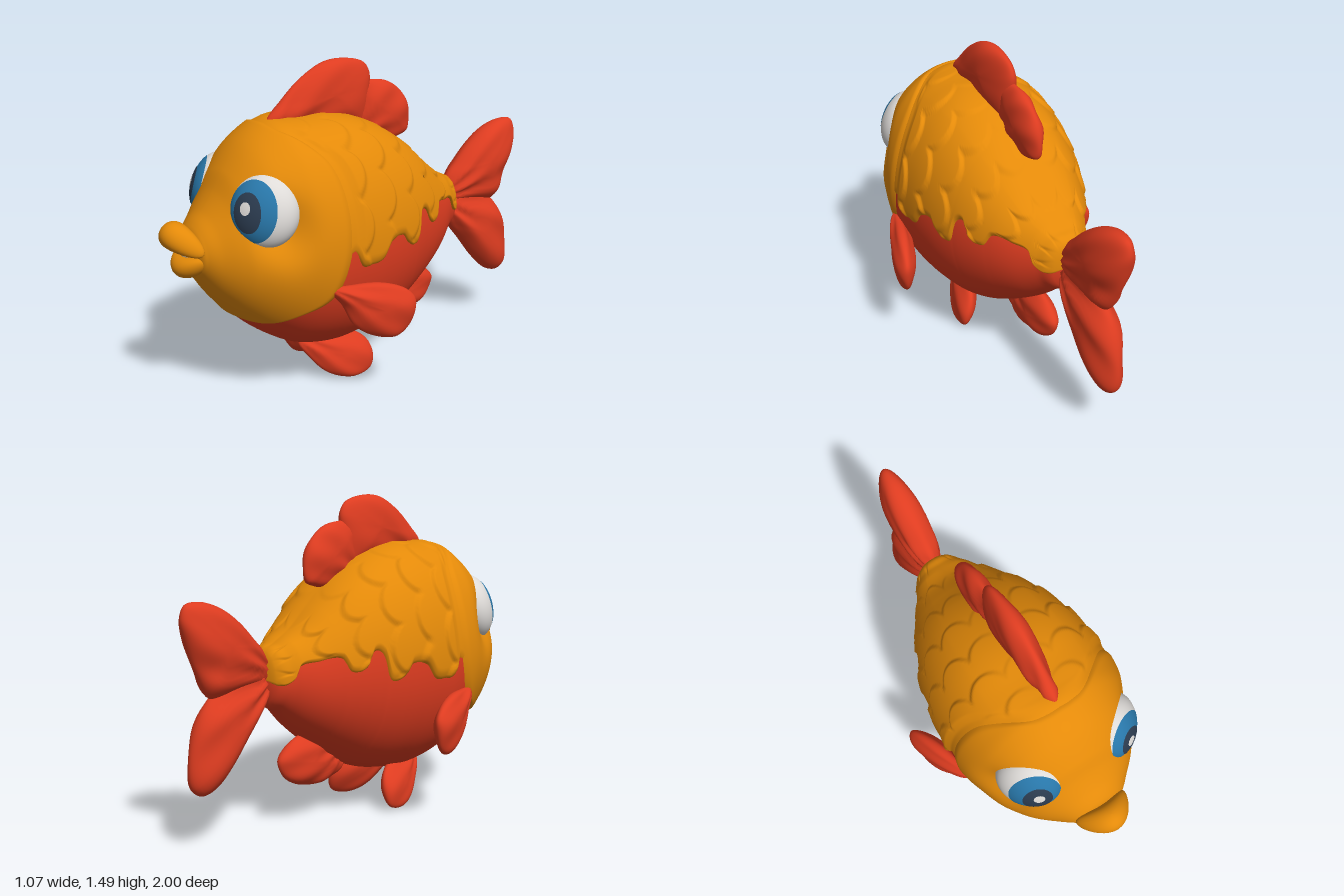
import * as THREE from 'three';
import { mergeVertices } from 'three/addons/utils/BufferGeometryUtils.js';

const material = (name, color) => Object.assign(new THREE.MeshStandardMaterial({ color }), { name });
const orange = material('orange skin', 0xe48a09);
const red = material('red fins and belly', 0xde3c20);
const white = material('eye white', 0xdedbd8);
const blue = material('iris blue', 0x2876a8);
const dark = material('pupil navy', 0x2b3b4f);

const { sin, cos, min, max, abs, asin, PI, hypot, sqrt } = Math;
const lerp = THREE.MathUtils.lerp, clamp = THREE.MathUtils.clamp;

// smooth interpolation of one column in a table sorted by its first column
function interp(table, x, col = 1) {
  const n = table.length;
  x = clamp(x, table[0][0], table[n - 1][0]);
  let i = 0;
  while (i < n - 2 && x > table[i + 1][0]) i++;
  const slope = k => {
    const a = table[max(k - 1, 0)], b = table[min(k + 1, n - 1)];
    return (b[col] - a[col]) / (b[0] - a[0]);
  };
  const p = table[i], q = table[i + 1], d = q[0] - p[0], t = (x - p[0]) / d;
  const t2 = t * t, t3 = t2 * t;
  return (2 * t3 - 3 * t2 + 1) * p[col] + (t3 - 2 * t2 + t) * d * slope(i)
    + (3 * t2 - 2 * t3) * q[col] + (t3 - t2) * d * slope(i + 1);
}

// surface from a rule f(u, v) -> [x, y, z]
function surface(name, mat, nu, nv, f, flip = false) {
  const pos = [], idx = [];
  for (let j = 0; j <= nv; j++) for (let i = 0; i <= nu; i++) pos.push(...f(i / nu, j / nv));
  for (let j = 0; j < nv; j++) for (let i = 0; i < nu; i++) {
    const a = j * (nu + 1) + i, b = a + 1, c = b + nu + 1, d = a + nu + 1;
    if (flip) idx.push(a, c, b, a, d, c); else idx.push(a, b, c, a, c, d);
  }
  let g = new THREE.BufferGeometry();
  g.setAttribute('position', new THREE.Float32BufferAttribute(pos, 3));
  g.setIndex(idx);
  g = mergeVertices(g, 1e-5);
  g.computeVertexNormals();
  const mesh = new THREE.Mesh(g, mat);
  mesh.name = name;
  return mesh;
}

// body sections: z, top, bottom, half width
const profile = [
  [-0.585, 0.71, 0.71, 0], [-0.565, 0.81, 0.60, 0.075], [-0.5, 0.85, 0.545, 0.125], [-0.4, 0.91, 0.45, 0.20],
  [-0.3, 1.0, 0.37, 0.26], [-0.2, 1.09, 0.30, 0.31], [-0.1, 1.16, 0.24, 0.35], [0, 1.21, 0.20, 0.38],
  [0.1, 1.245, 0.18, 0.4], [0.2, 1.262, 0.17, 0.412], [0.3, 1.262, 0.18, 0.42], [0.4, 1.262, 0.205, 0.41],
  [0.48, 1.255, 0.245, 0.39], [0.6, 1.18, 0.33, 0.35], [0.7, 1.06, 0.425, 0.285], [0.75, 0.97, 0.485, 0.238],
  [0.8, 0.90, 0.55, 0.182], [0.85, 0.845, 0.63, 0.125], [0.87, 0.81, 0.67, 0.09], [0.885, 0.75, 0.74, 0]];
// rear edge of the head: angle above the horizontal, z
const headEdge = [[-1.58, 0.695], [-1.3, 0.68], [-1.0, 0.61], [-0.67, 0.5], [-0.36, 0.36], [-0.05, 0.3], [0.2, 0.28],
  [0.52, 0.285], [0.8, 0.315], [1.0, 0.37], [1.25, 0.45], [1.45, 0.47], [1.58, 0.47]];
// scalloped edge of the orange back: z, y
const scallops = [[-0.585, 0.71], [-0.55, 0.68], [-0.5, 0.70], [-0.47, 0.76], [-0.4, 0.78], [-0.31, 0.79],
  [-0.28, 0.73], [-0.22, 0.74], [-0.18, 0.81], [-0.135, 0.79], [-0.115, 0.69], [-0.08, 0.67], [-0.03, 0.70],
  [0, 0.74], [0.08, 0.73], [0.13, 0.66], [0.2, 0.65], [0.25, 0.66], [0.29, 0.73], [0.36, 0.66], [0.5, 0.52], [0.9, 0.5]];

const edgeZ = a => interp(headEdge, asin(clamp(sin(a), -1, 1)));
function skin(a, z, off) {
  const top = interp(profile, z, 1), low = interp(profile, z, 2), w = max(0, interp(profile, z, 3));
  const o = off * min(1, w / 0.1);
  // fuller shoulders on the upper back
  const power = sin(a) > 0 ? lerp(1, 0.86, clamp((0.55 - z) / 0.2, 0, 1)) : 1;
  const c = Math.sign(cos(a)) * abs(cos(a)) ** power;
  return [(w + o) * c, (top + low) / 2 + (max(0, top - low) / 2 + o) * sin(a), z];
}
function edgeAngle(z) {
  const top = interp(profile, z, 1), low = interp(profile, z, 2);
  return asin(clamp((interp(scallops, z) - (top + low) / 2) / max(0.02, (top - low) / 2), -0.9, 0.9));
}

// overlapping round scales, raised towards their rear rim
function scaleHeight(a, z) {
  const s = (a - PI / 2) * 0.45, dzRow = 0.15, dsCol = 0.2, R = 0.12;
  let h = 0;
  const row = Math.round(z / dzRow);
  for (let i = row - 1; i <= row + 1; i++) {
    const shift = (abs(i) % 2) * 0.5, col = Math.round(s / dsCol - shift);
    for (let j = col - 1; j <= col + 1; j++) {
      const dz = z - i * dzRow, ds = s - (j + shift) * dsCol, r = hypot(dz, ds);
      if (r < R) h = max(h, 0.022 * (0.5 - 0.5 * dz / R) * min(1, (R - r) / 0.018));
    }
  }
  return h * min(1, abs(cos(a)) * 2) * clamp((z + 0.57) / 0.1, 0, 1);
}

// pillow-shaped fin from a [z, y] outline; sideX gives its x across the fin
function fin(name, outline, thick, root, side = 1, sideX = () => 0) {
  const curve = new THREE.CatmullRomCurve3(outline.map(p => new THREE.Vector3(p[0], p[1], 0)), true);
  const area = THREE.ShapeUtils.area(outline.map(p => new THREE.Vector2(...p)));
  const cz = outline.reduce((t, p) => t + p[0], 0) / outline.length;
  const cy = outline.reduce((t, p) => t + p[1], 0) / outline.length;
  return surface(name, red, 80, 24, (u, v) => {
    const p = curve.getPoint(u % 1), r = v === 1 ? 0 : sin(v * PI);
    const z = lerp(cz, p.x, r), y = lerp(cy, p.y, r);
    const ridge = 1 + 0.18 * r * cos(16 * Math.atan2(y - root[1], z - root[0]));
    return [side * (sideX(z, y) + thick * cos(v * PI) * ridge), y, z];
  }, (area < 0) !== (side < 0));
}

// eye: round patch of a tilted ellipsoid, given its angular radius, turn to the front and rise
function eyePatch(name, mat, side, radius, tall, turn, rise, lift) {
  const c = new THREE.Vector3(0.222, 0.937, 0.616), n = new THREE.Vector3(0.72, 0.28, 0.69).normalize();
  const t = new THREE.Vector3(-0.69, 0, 0.72).normalize(), up = new THREE.Vector3().crossVectors(t, n).normalize();
  if (up.y < 0) up.negate();
  return surface(name, mat, 24, 48, (u, v) => {
    const q = radius * u, th = (v % 1) * 2 * PI, e = sin(q) * sin(th);
    const d = new THREE.Vector3(cos(turn) * e + sin(turn) * cos(q), tall * sin(q) * cos(th) + rise * cos(q),
      cos(turn) * cos(q) - sin(turn) * e).normalize().multiplyScalar(lift);
    const p = c.clone().addScaledVector(t, 0.15 * d.x).addScaledVector(up, 0.162 * d.y).addScaledVector(n, 0.105 * d.z);
    return [side * p.x, p.y, p.z];
  }, side < 0);
}

// lip: ellipsoid bent back and up or down at its corners
function lip(name, mat, [y, z], [rx, ry, rz], bendY, bendZ) {
  const g = new THREE.SphereGeometry(1, 40, 24).scale(rx, ry, rz), p = g.attributes.position;
  for (let i = 0; i < p.count; i++) {
    const x2 = p.getX(i) ** 2;
    p.setY(i, p.getY(i) + y + bendY * x2);
    p.setZ(i, p.getZ(i) + z + bendZ * x2);
  }
  g.computeVertexNormals();
  const mesh = new THREE.Mesh(g, mat);
  mesh.name = name;
  return mesh;
}

export function createModel() {
  const fish = new THREE.Group();
  fish.name = 'fish';

  // belly, scaly back and head
  fish.add(surface('belly', red, 64, 110, (u, v) => {
    const z = lerp(-0.585, 0.74, v), a0 = edgeAngle(z) + 0.06;
    return skin(lerp(PI - a0, 2 * PI + a0, u), z, 0);
  }));
  fish.add(surface('scalyBack', orange, 150, 140, (u, v) => {
    const z = lerp(-0.585, edgeZ(PI * u) + 0.03, v), a0 = edgeAngle(z);
    const a = lerp(a0, PI - a0, u), rim = sqrt(min(1, min(u, 1 - u) / 0.025));
    return skin(a, z, -0.008 + rim * (0.014 + scaleHeight(a, z) * clamp((edgeZ(a) - z) / 0.04, 0, 1)));
  }));
  fish.add(surface('head', orange, 128, 90, (u, v) => {
    const a = (u % 1) * 2 * PI, e = edgeZ(a), z = e + (0.885 - e) * sin(v * PI / 2);
    const p = skin(a, z, -0.02 + 0.036 * sqrt(min(1, v / 0.06)));
    // sockets around the eyes
    const dent = 0.085 * Math.exp(-(((p[1] - 0.88) / 0.12) ** 2) - ((z - 0.6) / 0.1) ** 2);
    p[0] -= Math.sign(p[0]) * min(dent, abs(p[0]));
    return p;
  }));

  // mouth
  fish.add(lip('upperLip', orange, [0.826, 0.936], [0.132, 0.062, 0.064], -3.4, -3.6));
  fish.add(lip('lowerLip', orange, [0.68, 0.895], [0.122, 0.05, 0.056], 2.8, -3.4));
  fish.add(lip('mouthInside', red, [0.745, 0.86], [0.09, 0.045, 0.045], 0, -3));
  fish.add(lip('teeth', white, [0.734, 0.901], [0.038, 0.008, 0.008], 0, -3));

  // dorsal fin, anal fin and tail
  fish.add(fin('dorsalFinFront', [[0.47, 1.25], [0.4, 1.33], [0.3, 1.42], [0.17, 1.485], [0.05, 1.49], [-0.05, 1.46],
    [-0.08, 1.41], [-0.075, 1.33], [-0.06, 1.17], [0.1, 1.19], [0.3, 1.21]], 0.062, [0.5, 1.1]));
  fish.add(fin('dorsalFinRear', [[0.03, 1.36], [-0.1, 1.375], [-0.2, 1.35], [-0.28, 1.28], [-0.31, 1.2],
    [-0.3, 1.11], [-0.26, 1.09], [-0.2, 1.08], [-0.1, 1.1], [0, 1.16]], 0.055, [0.1, 1.08]));
  fish.add(fin('analFin', [[-0.07, 0.23], [-0.15, 0.18], [-0.25, 0.165], [-0.38, 0.19], [-0.45, 0.24],
    [-0.477, 0.31], [-0.44, 0.36], [-0.36, 0.41], [-0.25, 0.43], [-0.15, 0.35]], 0.06, [-0.05, 0.35]));
  fish.add(fin('tailUpperLobe', [[-0.54, 0.7], [-0.56, 0.82], [-0.62, 0.89], [-0.7, 0.97], [-0.8, 1.04], [-0.9, 1.073],
    [-0.975, 1.065], [-0.998, 1.01], [-0.98, 0.92], [-0.93, 0.78], [-0.86, 0.66], [-0.7, 0.66]], 0.085, [-0.5, 0.72]));
  fish.add(fin('tailLowerLobe', [[-0.53, 0.66], [-0.56, 0.75], [-0.72, 0.74], [-0.86, 0.66], [-0.93, 0.56], [-0.97, 0.42],
    [-0.965, 0.29], [-0.92, 0.25], [-0.85, 0.265], [-0.76, 0.345], [-0.66, 0.47], [-0.58, 0.57]], 0.085, [-0.5, 0.72]));

  for (const side of [1, -1]) {
    const label = side > 0 ? 'left' : 'right';

    // paired fins
    fish.add(fin(label + 'PectoralFin', [[0.4, 0.58], [0.35, 0.5], [0.3, 0.4], [0.22, 0.34], [0.12, 0.32], [0.06, 0.36],
      [0.03, 0.44], [0.03, 0.5], [0.08, 0.55], [0.18, 0.585], [0.3, 0.59]], 0.058, [0.42, 0.6], side,
      z => 0.45 + 0.31 * (0.2 - z)));
    fish.add(fin(label + 'VentralFin', [[0.37, 0.2], [0.33, 0.12], [0.25, 0.035], [0.14, 0.002], [0.05, 0.03],
      [0.028, 0.1], [0.05, 0.17], [0.12, 0.22], [0.25, 0.24]], 0.056, [0.4, 0.25], side,
      (z, y) => 0.145 + 0.25 * (0.1 - y) + 0.25 * (0.18 - z)));

    // eyes
    const eye = new THREE.Group();
    eye.name = label + 'Eye';
    eye.add(eyePatch('eyeball', white, side, PI, 1, 0, 0, 1));
    eye.add(eyePatch('iris', blue, side, 0.91, 1.1, 0.41, -0.05, 1.012));
    eye.add(eyePatch('pupil', dark, side, 0.47, 1.22, 0.43, -0.08, 1.024));
    eye.add(eyePatch('highlight', white, side, 0.17, 1, 0.44, 0.06, 1.036));
    fish.add(eye);
  }
  return fish;
}
